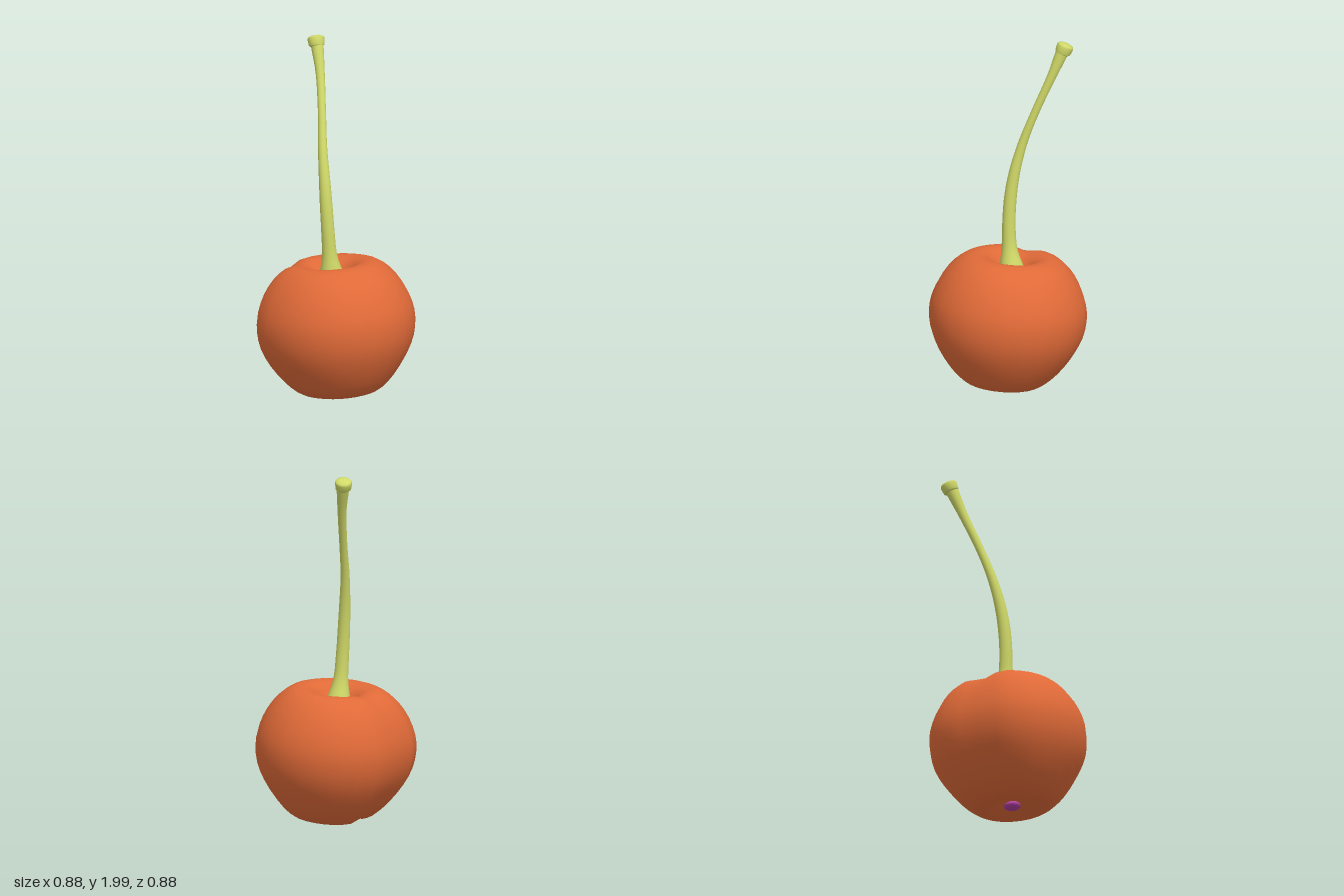
import * as THREE from 'three';
import { mergeVertices } from 'three/addons/utils/BufferGeometryUtils.js';

const material = (color) => new THREE.MeshStandardMaterial({ color });
const toPoints = (list) => list.map(([x, y]) => new THREE.Vector2(x, y));

// Weld the seams so the normals are smooth all round
function smooth(geometry) {
  geometry.deleteAttribute('uv');
  geometry.deleteAttribute('normal');
  const welded = mergeVertices(geometry, 1e-4);
  welded.computeVertexNormals();
  return welded;
}

// Fruit flesh: a dimpled lathe with a shallow crease down one side
function fruitGeometry() {
  const profile = new THREE.SplineCurve(toPoints([
    [0, -0.335], [0.06, -0.34], [0.12, -0.365], [0.18, -0.378], [0.24, -0.35], [0.31, -0.28],
    [0.38, -0.18], [0.425, -0.08], [0.44, 0.02], [0.43, 0.11], [0.39, 0.21], [0.33, 0.295],
    [0.26, 0.35], [0.19, 0.363], [0.13, 0.34], [0.09, 0.3], [0.05, 0.272], [0, 0.265],
  ])).getPoints(34);
  profile[0].x = profile[34].x = 0;
  const geometry = new THREE.LatheGeometry(profile, 24);
  const pos = geometry.attributes.position;
  const bump = (angle, centre, width) => Math.exp(-(((angle - centre) / width) ** 2));
  for (let i = 0; i < pos.count; i++) {
    const x = pos.getX(i), y = pos.getY(i), z = pos.getZ(i);
    const r = Math.hypot(x, z);
    // Angle in degrees from -x towards +z
    const angle = THREE.MathUtils.radToDeg(Math.atan2(z, -x));
    const fade = THREE.MathUtils.smoothstep(r, 0.05, 0.2);
    const crease = bump(angle, 26, 17) * fade;
    const ridge = bump(angle, 57, 15) * fade;
    const s = 1 - 0.08 * crease + 0.045 * ridge;
    pos.setXYZ(i, x * s, y * (1 - 0.06 * crease), z * s);
  }
  return smooth(geometry);
}

// Stem: a tube whose radius follows a taper
function stemGeometry(path, radii) {
  const rings = 32, sides = 16;
  const geometry = new THREE.TubeGeometry(path, rings, 1, sides);
  const taper = new THREE.SplineCurve(toPoints(radii));
  const pos = geometry.attributes.position;
  const p = new THREE.Vector3();
  for (let i = 0; i <= rings; i++) {
    const centre = path.getPointAt(i / rings);
    const radius = taper.getPoint(i / rings).y;
    for (let j = 0; j <= sides; j++) {
      const k = i * (sides + 1) + j;
      p.fromBufferAttribute(pos, k).sub(centre).multiplyScalar(radius).add(centre);
      pos.setXYZ(k, p.x, p.y, p.z);
    }
  }
  return smooth(geometry);
}

export function createModel() {
  const cherry = new THREE.Group();
  cherry.name = 'cherry';
  const add = (parent, name, geometry, mat) => {
    const mesh = new THREE.Mesh(geometry, mat);
    mesh.name = name;
    parent.add(mesh);
    return mesh;
  };

  // Fruit, leaning slightly to one side
  const fruit = new THREE.Group();
  fruit.name = 'fruit';
  fruit.position.y = 0.4;
  fruit.rotation.z = 0.1;
  cherry.add(fruit);
  add(fruit, 'flesh', fruitGeometry(), material(0xe06a38));

  // Blossom scar in the bottom dimple
  const scar = add(fruit, 'blossomScar', new THREE.SphereGeometry(0.048, 14, 10), material(0xb040a0));
  scar.scale.y = 0.5;
  scar.position.set(-0.01, -0.36, 0);

  // Curved stem
  const green = material(0xd0d968);
  const path = new THREE.CatmullRomCurve3([
    [-0.035, 0.655, 0], [-0.034, 0.77, 0.018], [-0.042, 1.0, 0.032], [-0.066, 1.2, 0.026],
    [-0.11, 1.4, 0], [-0.166, 1.6, -0.05], [-0.235, 1.8, -0.105], [-0.292, 1.95, -0.137],
  ].map((p) => new THREE.Vector3(...p)));
  add(cherry, 'stem', stemGeometry(path, [
    [0, 0.075], [0.08, 0.043], [0.17, 0.037], [0.25, 0.035], [0.4, 0.031], [0.55, 0.026],
    [0.7, 0.023], [0.85, 0.023], [0.93, 0.026], [1, 0.036],
  ]), green);

  // Knob at the tip, aligned with the stem
  const knob = add(cherry, 'stemKnob', smooth(new THREE.LatheGeometry(toPoints([
    [0, -0.03], [0.036, -0.03], [0.044, -0.023], [0.048, 0.014], [0.043, 0.024], [0.025, 0.031], [0, 0.033],
  ]), 18)), green);
  knob.position.set(-0.301, 1.961, -0.14);
  knob.quaternion.setFromUnitVectors(new THREE.Vector3(0, 1, 0), path.getTangentAt(1));

  return cherry;
}
